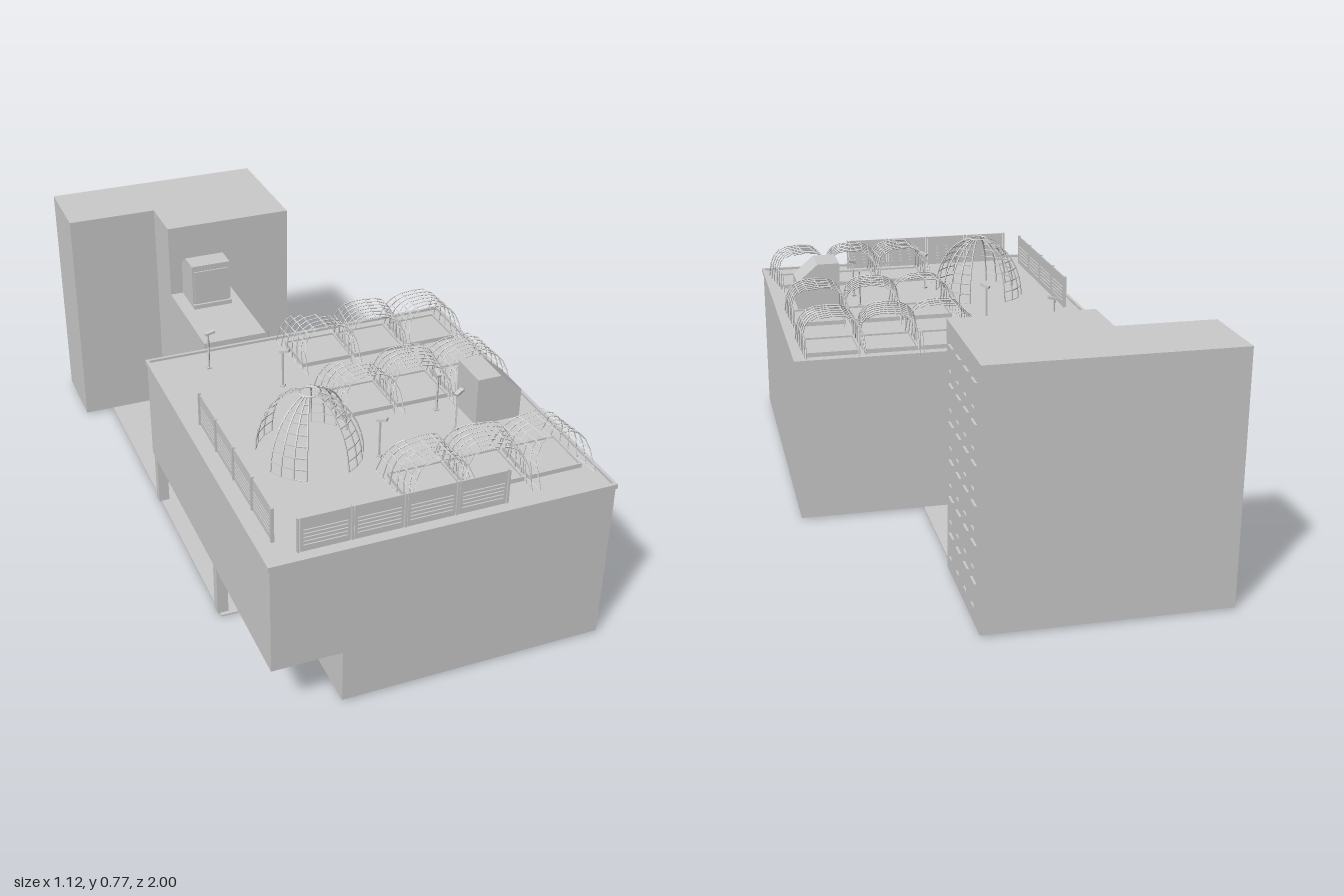
import * as THREE from 'three';
import { mergeGeometries } from 'three/addons/utils/BufferGeometryUtils.js';

const mat = new THREE.MeshStandardMaterial({ color: 0xcccccc, flatShading: true, side: THREE.DoubleSide });
const V = (x, y, z) => new THREE.Vector3(x, y, z);
const ROOF = 0.527;

function add(parent, name, geo) {
  const m = new THREE.Mesh(geo, mat);
  m.name = name;
  parent.add(m);
  return m;
}

// Box geometry given by its limits on each axis
function block(x0, x1, y0, y1, z0, z1) {
  return new THREE.BoxGeometry(x1 - x0, y1 - y0, z1 - z0)
    .translate((x0 + x1) / 2, (y0 + y1) / 2, (z0 + z1) / 2);
}

// Thin four-sided rod between two points
function rod(a, b, r = 0.002) {
  const d = b.clone().sub(a);
  const g = new THREE.CylinderGeometry(r, r, d.length(), 4, 1, true);
  g.applyQuaternion(new THREE.Quaternion().setFromUnitVectors(V(0, 1, 0), d.normalize()));
  return g.translate((a.x + b.x) / 2, (a.y + b.y) / 2, (a.z + b.z) / 2);
}

// Rods along both directions of a grid of points; keep(i, j) decides which nodes exist
function lattice(point, n, m, keep = () => true, r = 0.002) {
  const out = [];
  for (let i = 0; i <= n; i++) for (let j = 0; j <= m; j++) {
    if (!keep(i, j)) continue;
    if (i < n && keep(i + 1, j)) out.push(rod(point(i, j), point(i + 1, j), r));
    if (j < m && keep(i, j + 1)) out.push(rod(point(i, j), point(i, j + 1), r));
  }
  return mergeGeometries(out);
}

const shapeOf = pts => new THREE.Shape(pts.map(p => new THREE.Vector2(p[0], p[1])));
const extrude = (pts, depth) => new THREE.ExtrudeGeometry(shapeOf(pts), { depth, bevelEnabled: false });

// Footprint given as (x, z), extruded upwards
function raise(pts, y0, y1) {
  return extrude(pts.map(([x, z]) => [x, -z]), y1 - y0).rotateX(-Math.PI / 2).translate(0, y0, 0);
}

// Removes the faces lying on the lowest level, leaving a hollow shell
function openBottom(geo) {
  const g = geo.index ? geo.toNonIndexed() : geo;
  g.computeBoundingBox();
  const low = g.boundingBox.min.y + 1e-4, p = g.attributes.position, keep = [];
  for (let i = 0; i < p.count; i += 3) {
    if (p.getY(i) < low && p.getY(i + 1) < low && p.getY(i + 2) < low) continue;
    for (let k = i; k < i + 3; k++) keep.push(p.getX(k), p.getY(k), p.getZ(k));
  }
  const out = new THREE.BufferGeometry();
  out.setAttribute('position', new THREE.Float32BufferAttribute(keep, 3));
  out.computeVertexNormals();
  return out;
}

// Privacy fence along +x: four panels with louvres and posts
function roofFence(length) {
  const parts = [], w = length / 4;
  for (let i = 0; i < 4; i++) {
    const a = i * w + 0.006, b = (i + 1) * w - 0.006;
    parts.push(block(a, b, ROOF, 0.635, -0.002, 0.002));
    for (let k = 0; k < 5; k++) {
      const y = 0.545 + k * 0.012;
      parts.push(block(a + 0.008, b - 0.008, y, y + 0.004, -0.004, 0.006));
    }
  }
  for (let i = 0; i <= 4; i++) parts.push(block(i * w - 0.003, i * w + 0.003, ROOF, 0.637, -0.006, 0.004));
  return mergeGeometries(parts);
}

// Arched garden frame: rods fan out towards the feet
function archFrame(cut) {
  const n = 10, m = 6;
  const point = (i, j) => {
    const t = Math.PI * i / n, c = Math.cos(t), s = Math.sin(t);
    const up = Math.pow(s, 0.6);
    return V(0.095 * Math.sign(c) * Math.pow(Math.abs(c), 0.7), ROOF + 0.125 * up, (j / m * 2 - 1) * (0.125 - 0.06 * up));
  };
  return lattice(point, n, m, (i, j) => !(i > 1 && i < n - 1 && i - 2 + j < cut));
}

// Raised planting bed with a rim
function bed() {
  const s = shapeOf([[-0.085, -0.08], [0.085, -0.08], [0.085, 0.08], [-0.085, 0.08]]);
  s.holes.push(new THREE.Path([[-0.08, -0.075], [-0.08, 0.075], [0.08, 0.075], [0.08, -0.075]].map(p => new THREE.Vector2(...p))));
  const rim = new THREE.ExtrudeGeometry(s, { depth: 0.014, bevelEnabled: false }).rotateX(-Math.PI / 2).translate(0, ROOF, 0);
  return mergeGeometries([rim, block(-0.08, 0.08, ROOF, ROOF + 0.008, -0.075, 0.075).toNonIndexed()]);
}

// Lattice screen along +x from the origin
function screen(w, h) {
  const parts = [rod(V(0, 0, 0), V(0, h, 0), 0.003), rod(V(w, 0, 0), V(w, h, 0), 0.003), block(0, w, h - 0.005, h, -0.003, 0.003)];
  const step = 0.029;
  for (let s = -h; s < w; s += step) {
    const lo = Math.max(0, s), hi = Math.min(w, s + h);
    if (hi - lo < 0.003) continue;
    parts.push(rod(V(lo, lo - s, 0), V(hi, hi - s, 0), 0.0015));
    parts.push(rod(V(lo, h - lo + s, 0), V(hi, h - hi + s, 0), 0.0015));
  }
  return mergeGeometries(parts);
}

export function createModel() {
  const model = new THREE.Group();
  model.name = 'roofGardenBuildings';

  // Main building with a passage under one side, and its roof rim
  const outline = [[0.555, 0.006], [0.555, ROOF], [-0.475, ROOF], [-0.475, 0.18], [-0.265, 0.18], [-0.265, 0.006]];
  add(model, 'mainBuilding', openBottom(extrude(outline, 1.145).translate(0, 0, -0.147)));
  add(model, 'roofRim', mergeGeometries([
    block(-0.48, 0.56, 0.52, 0.535, 0.99, 1), block(-0.48, 0.56, 0.52, 0.535, -0.15, -0.14),
    block(-0.48, -0.47, 0.52, 0.535, -0.14, 0.99), block(0.55, 0.56, 0.52, 0.535, -0.14, 0.99)]));
  add(model, 'ground', block(-0.465, 0.157, 0, 0.005, -0.99, 0.53));
  for (const z of [-0.14, 0.485]) add(model, 'passagePillar', block(-0.472, -0.438, 0.003, 0.18, z, z + 0.032));

  // Rear tower and the lower link block
  const plan = [[-0.565, -1], [0.17, -1], [0.17, -0.58], [-0.265, -0.58], [-0.265, -0.75], [-0.565, -0.75]];
  add(model, 'tower', openBottom(raise(plan, 0.006, 0.775)));
  add(model, 'linkBlock', openBottom(block(-0.265, -0.05, 0.006, 0.525, -0.58, -0.2)));

  // Tower windows: raised frame with a pane
  const win = [];
  for (let c = 0; c < 4; c++) for (let r = 0; r < 6; r++) {
    const z = -0.935 + c * 0.094, y = 0.675 - r * 0.115;
    for (const s of [-1, 1]) {
      win.push(block(0.168, 0.177, y - 0.038, y + 0.038, z + s * 0.022 - 0.003, z + s * 0.022 + 0.003));
      win.push(block(0.168, 0.177, y + s * 0.037 - 0.003, y + s * 0.037 + 0.003, z - 0.025, z + 0.025));
    }
    win.push(block(0.168, 0.172, y - 0.036, y + 0.036, z - 0.022, z + 0.022));
  }
  add(model, 'towerWindows', mergeGeometries(win));
  const linkWin = [];
  for (const z of [-0.53, -0.45, -0.37, -0.25]) for (const y of [0.12, 0.25, 0.42])
    linkWin.push(block(-0.052, -0.042, y - 0.04, y + 0.04, z - 0.022, z + 0.022));
  add(model, 'linkWindows', mergeGeometries(linkWin));

  // Hatch on the link block
  add(model, 'linkHatch', extrude([[0.455, 0.52], [0.575, 0.52], [0.575, 0.645], [0.53, 0.68], [0.455, 0.68]], 0.135)
    .rotateY(Math.PI / 2).translate(-0.222, 0, 0));
  add(model, 'hatchFrame', mergeGeometries([block(-0.215, -0.095, 0.54, 0.66, -0.457, -0.45), block(-0.222, -0.087, 0.522, 0.54, -0.46, -0.442)]));

  // Balcony between the buildings, with railing and a wall ladder
  const rails = [block(-0.05, -0.005, 0.302, 0.314, -0.295, -0.165), block(-0.26, -0.005, 0.302, 0.314, -0.2, -0.165)];
  for (const z of [-0.293, -0.25, -0.21, -0.168]) rails.push(rod(V(-0.007, 0.31, z), V(-0.007, z < -0.28 ? 0.48 : 0.38, z)));
  rails.push(rod(V(-0.007, 0.38, -0.295), V(-0.007, 0.38, -0.166)));
  add(model, 'balcony', mergeGeometries(rails));
  add(model, 'wallLadder', lattice((i, j) => V(-0.2 + i * 0.04, 0.16 + j * 0.025, -0.153), 1, 10));

  // Lattice screen closing the passage
  const back = add(model, 'passageScreen', screen(0.172, 0.105));
  back.position.set(-0.437, 0.004, -0.205);
  const side = add(model, 'passageScreenSide', screen(0.065, 0.105));
  side.position.set(-0.437, 0.004, -0.14);
  side.rotation.y = Math.PI / 2;

  // Roof fences
  add(model, 'frontRoofFence', roofFence(0.615)).position.set(-0.38, 0, 0.955);
  const sideFence = add(model, 'sideRoofFence', roofFence(0.62));
  sideFence.position.set(-0.427, 0, 0.89);
  sideFence.rotation.y = Math.PI / 2;

  // Large open dome: four lattice petals meeting at a crown ring
  const dome = new THREE.Group();
  dome.name = 'openDome';
  dome.position.set(-0.177, ROOF, 0.52);
  for (let k = 0; k < 4; k++) {
    const mid = Math.PI / 4 + k * Math.PI / 2;
    add(dome, 'domePetal', lattice((i, j) => {
      const e = i / 8 * 1.38, a = mid + (j / 3 - 0.5) * 0.74;
      return V(0.157 * Math.cos(e) * Math.cos(a), 0.203 * Math.sin(e), 0.157 * Math.cos(e) * Math.sin(a));
    }, 8, 3, () => true, 0.0025));
  }
  add(dome, 'domeCrown', new THREE.TorusGeometry(0.03, 0.003, 4, 12).rotateX(Math.PI / 2)).position.y = 0.2;
  model.add(dome);

  // Nine arched garden frames over planting beds
  [-0.015, 0.315, 0.8].forEach((z, r) => [0.065, 0.245, 0.43].forEach((x, c) => {
    const plot = new THREE.Group();
    plot.name = 'gardenPlot';
    plot.position.set(x, 0, z);
    add(plot, 'plantingBed', bed());
    add(plot, 'archFrame', archFrame(c === 0 && r < 2 ? 5 : c === 2 ? 2 : 1)).rotation.y = [0.06, -0.12, r === 2 ? 0.12 : 0.03][c];
    model.add(plot);
  }));

  // Stair hut with a sloping roof
  add(model, 'stairHut', extrude([[0.335, ROOF], [0.482, ROOF], [0.482, 0.622], [0.41, 0.683], [0.335, 0.683]], 0.13).translate(0, 0, 0.442));

  // Roof lamps with tilted heads
  for (const [x, z, turn] of [[-0.12, 0.15, -0.7], [-0.3, -0.04, 0], [0.265, 0.45, 1.5], [0.27, 0.57, 0.4], [0, 0.62, -0.8]]) {
    const lamp = new THREE.Group();
    lamp.name = 'roofLamp';
    lamp.position.set(x, ROOF, z);
    lamp.rotation.y = turn;
    add(lamp, 'lampPost', rod(V(0, 0, 0), V(0, 0.125, 0), 0.0035));
    add(lamp, 'lampFoot', block(-0.007, 0.007, 0, 0.005, -0.007, 0.007));
    const head = add(lamp, 'lampHead', block(-0.016, 0.016, -0.004, 0.004, -0.007, 0.007));
    head.position.set(0.006, 0.127, 0);
    head.rotation.z = 0.25;
    model.add(lamp);
  }
  return model;
}
